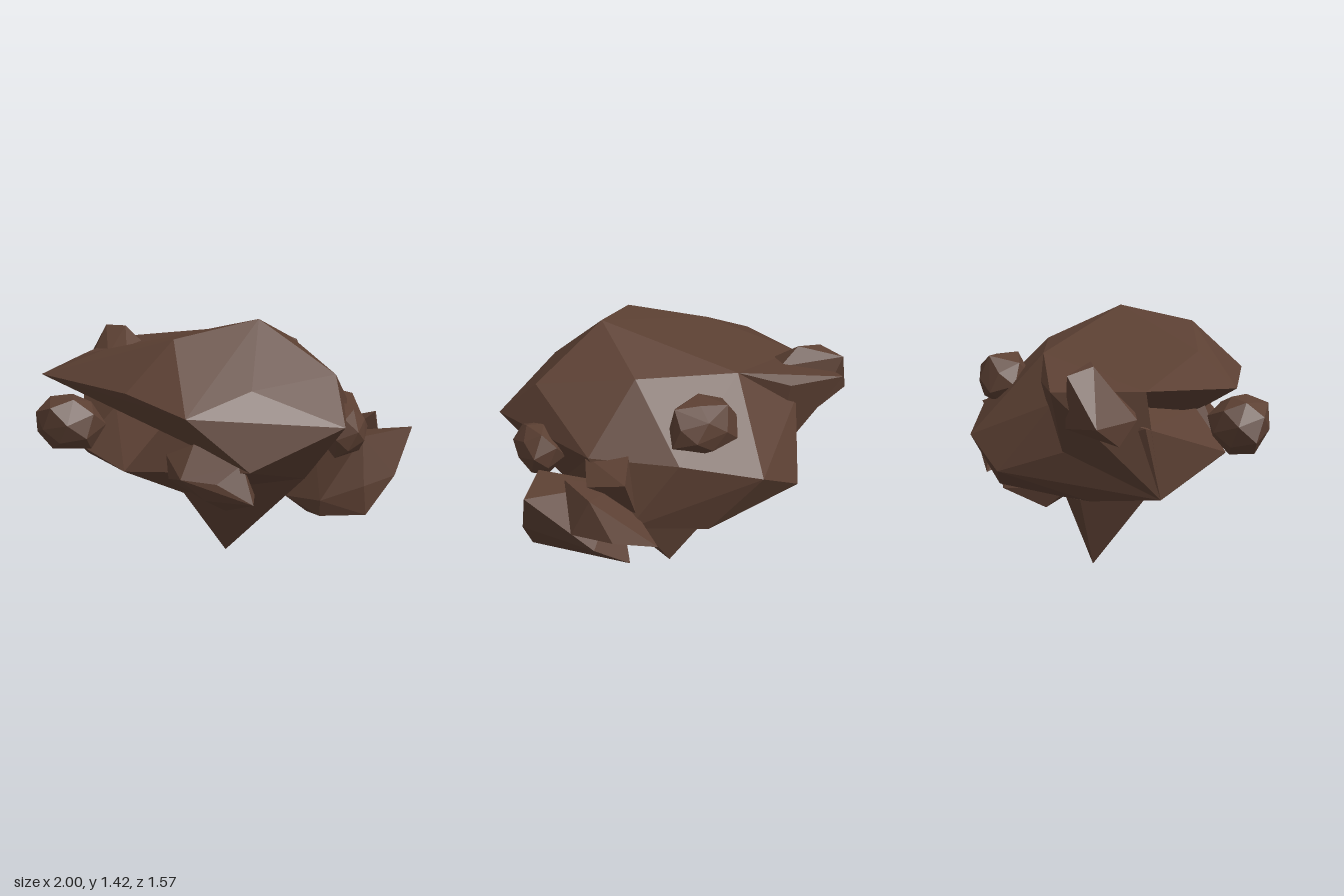
import * as THREE from 'three';
import { ConvexGeometry } from 'three/addons/geometries/ConvexGeometry.js';

const rock = new THREE.MeshStandardMaterial({ color: 0x5c4033 });
rock.name = 'brown rock';

// Faceted chunk: the hull of a few corner points
function chunk(name, corners) {
  const points = corners.map(c => new THREE.Vector3(...c));
  const mesh = new THREE.Mesh(new ConvexGeometry(points), rock);
  mesh.name = name;
  return mesh;
}

// Small irregular boulder: evenly spread points with a seeded jitter
function boulder(name, center, radii, seed, count = 22) {
  let s = seed;
  const rand = () => (s = (s * 16807) % 2147483647) / 2147483647;
  const corners = [];
  for (let i = 0; i < count; i++) {
    const v = 1 - 2 * (i + 0.5) / count;
    const a = i * 2.39996 + seed;
    const h = Math.sqrt(1 - v * v);
    const k = 0.88 + 0.24 * rand();
    corners.push([
      center[0] + Math.cos(a) * h * radii[0] * k,
      center[1] + v * radii[1] * k,
      center[2] + Math.sin(a) * h * radii[2] * k,
    ]);
  }
  return chunk(name, corners);
}

export function createModel() {
  const model = new THREE.Group();
  model.name = 'asteroid';

  // Upper mass with its overhanging front brim
  model.add(chunk('upperBody', [
    [0.28, 1.42, 0.14], [-0.06, 1.35, 0.45], [0.69, 1.16, 0.11], [0.15, 1.05, 0.785],
    [0.81, 0.95, 0.32], [-0.855, 1.08, 0.41], [-0.22, 1.11, 0.68], [-0.51, 1.23, 0.33],
    [0.38, 1.14, 0.5], [0.43, 0.77, 0.65], [-0.86, 1.08, -0.05], [0.32, 1.24, -0.27],
    [0.63, 0.905, -0.33], [-0.21, 1.21, -0.41], [0.4, 0.6, 0.2], [0, 0.7, 0],
  ]));

  // Lower mass, set back under the brim
  model.add(chunk('lowerBody', [
    [-0.085, 0.93, 0.36], [-0.45, 0.93, 0.34], [-0.61, 0.72, 0.45], [-0.3, 0.65, 0.56],
    [-0.785, 0.53, 0.05], [-0.85, 0.9, -0.05], [-0.115, 0.44, 0.22], [-0.34, 0.45, -0.2],
    [-0.55, 0.49, -0.25], [0.54, 0.58, 0.12], [0.25, 0.33, -0.19], [0.32, 1.24, -0.27],
    [0.63, 0.905, -0.33], [-0.21, 1.21, -0.41], [-0.12, 0.785, -0.785], [-0.41, 0.64, -0.695],
    [0.29, 0.9, -0.64], [0.08, 0.47, -0.6], [0.5, 0.55, -0.5], [-0.57, 1, -0.44],
  ]));

  // Slanting cheek that joins the brim to the underside
  model.add(chunk('frontCheek', [
    [-0.085, 0.93, 0.5], [0.43, 0.77, 0.65], [0.81, 0.95, 0.32], [-0.115, 0.44, 0.22],
    [-0.3, 0.65, 0.56], [0.54, 0.58, 0.12], [0.63, 0.905, -0.33], [0, 0.7, 0],
  ]));

  // Pointed underside
  model.add(chunk('bottomSpike', [
    [0.005, 0, -0.095], [-0.115, 0.44, 0.22], [-0.34, 0.45, -0.25],
    [0.54, 0.58, 0.12], [0.25, 0.33, -0.19], [0, 0.7, 0],
  ]));

  // Sharp spur on the back right corner
  model.add(chunk('backSpur', [
    [-0.83, 1.09, -0.51], [-0.5, 1.1, -0.485], [-0.21, 1.21, -0.41], [-0.86, 1.08, -0.05],
    [-0.6, 1, -0.44], [-0.785, 0.53, 0.05], [-0.5, 0.6, -0.35],
  ]));

  // Large lobe on the left flank
  model.add(chunk('sideLobe', [
    [0.995, 0.785, -0.345], [0.945, 0.545, -0.2], [0.83, 0.35, -0.06], [0.59, 0.33, 0],
    [0.43, 0.235, -0.27], [0.79, 0.78, -0.09], [0.82, 0.52, -0.04], [0.6, 0.43, 0.03],
    [0.5, 0.35, -0.51], [0.7, 0.48, -0.5], [0.45, 0.7, -0.3], [0.34, 0.36, -0.15],
  ]));

  // Jagged shards behind the lobe
  model.add(chunk('shardUpper', [
    [0.58, 0.86, -0.61], [0.43, 0.95, -0.4], [0.62, 0.9, -0.28], [0.69, 0.8, -0.42],
    [0.45, 0.6, -0.5], [0.6, 0.65, -0.3],
  ]));
  model.add(chunk('shardLower', [
    [0.74, 0.79, -0.54], [0.78, 0.84, -0.36], [0.66, 0.57, -0.62], [0.4, 0.47, -0.62],
    [0.5, 0.75, -0.4], [0.8, 0.58, -0.45], [0.5, 0.6, -0.3],
  ]));

  // Boulders stuck around the rim
  model.add(chunk('rightBoulder', [
    [-1, 0.93, -0.33], [-0.88, 1.17, -0.44], [-0.83, 1.205, -0.3], [-0.695, 1.215, -0.28],
    [-0.58, 1.12, -0.28], [-0.72, 1.08, -0.1], [-0.61, 1.1, -0.12], [-0.92, 0.83, -0.2],
    [-0.88, 0.95, -0.1], [-0.75, 0.9, -0.42], [-0.6, 0.9, -0.3],
  ]));
  model.add(boulder('frontRightBoulder', [-0.64, 0.87, 0.51], [0.19, 0.165, 0.165], 11));
  model.add(chunk('frontLeftBoulder', [
    [-0.04, 0.79, 0.6], [0.12, 0.87, 0.62], [0.38, 0.8, 0.62], [0.465, 0.62, 0.69],
    [0.25, 0.5, 0.52], [-0.02, 0.67, 0.62], [0.1, 0.72, 0.74], [0.28, 0.71, 0.71],
    [0.2, 0.6, 0.67], [0.4, 0.6, 0.5], [0, 0.65, 0.45], [0.2, 0.8, 0.4],
  ]));
  model.add(boulder('leftBoulder', [0.72, 0.85, 0.04], [0.13, 0.155, 0.155], 23));
  model.add(boulder('backBoulder', [0.1, 1.05, -0.57], [0.2, 0.15, 0.15], 37));

  return model;
}
